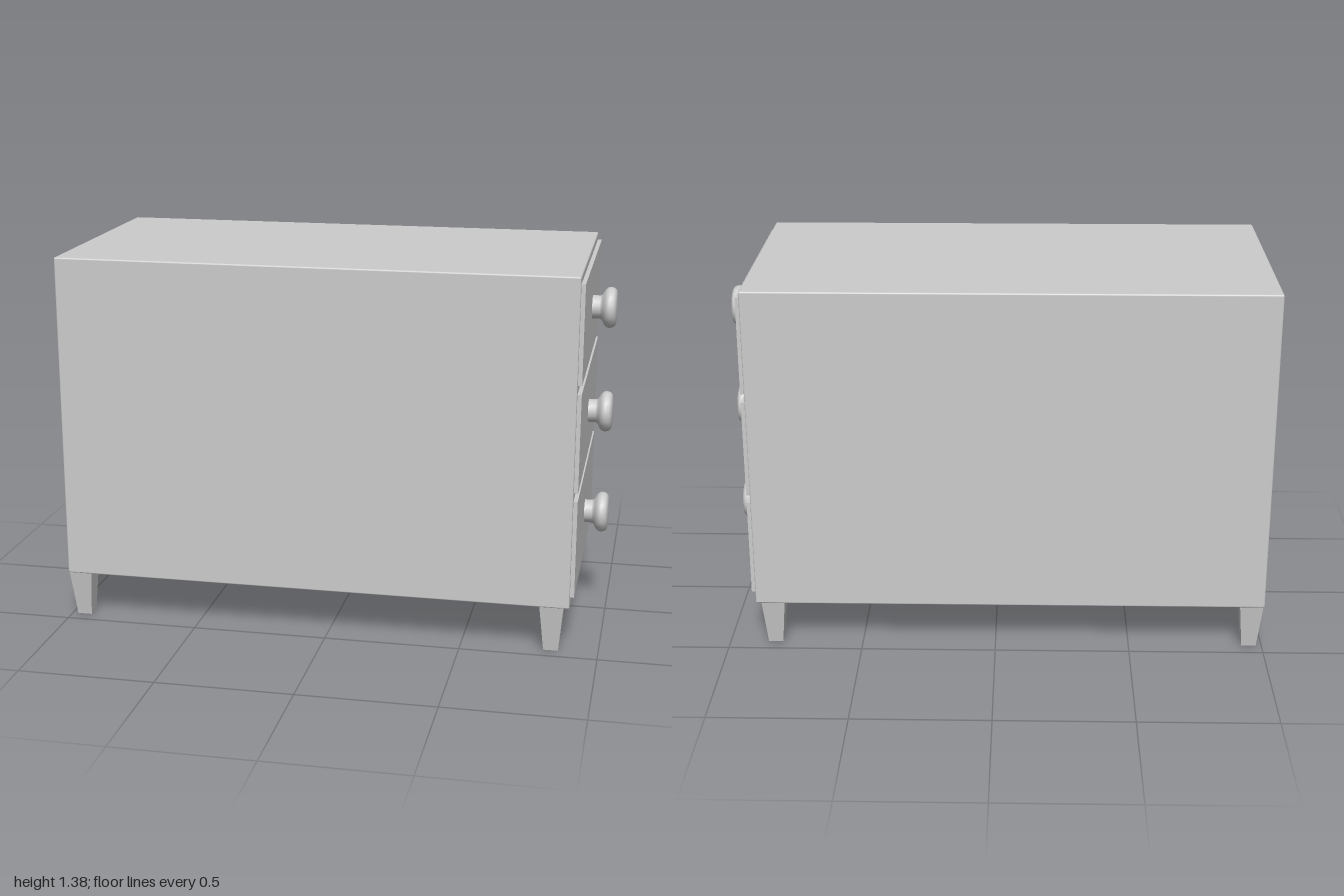
import * as THREE from 'three';
import { RoundedBoxGeometry } from 'three/addons/geometries/RoundedBoxGeometry.js';

const material = new THREE.MeshStandardMaterial({ color: 0xcccccc });

function add(parent, name, geometry, x, y, z) {
  const mesh = new THREE.Mesh(geometry, material);
  mesh.name = name;
  mesh.position.set(x, y, z);
  parent.add(mesh);
  return mesh;
}

// Leg tapering evenly in x, but in z only on its outer face (side = +1 or -1)
function legGeometry(side) {
  const h = 0.18, topX = 0.0435, footX = 0.027, inner = 0.393, topZ = 0.475, footZ = 0.447;
  const geometry = new THREE.BoxGeometry(2, h, 2);
  const p = geometry.attributes.position;
  for (let i = 0; i < p.count; i++) {
    const top = p.getY(i) > 0;
    const outer = p.getZ(i) * side > 0;
    p.setX(i, p.getX(i) * (top ? topX : footX));
    p.setZ(i, side * (outer ? (top ? topZ : footZ) : inner));
  }
  geometry.translate(0, h / 2, 0);
  geometry.computeVertexNormals();
  return geometry;
}

// Turned knob: narrow stem and wide rounded cap, pointing along +x
function knobGeometry() {
  const profile = [
    [0.043, 0], [0.043, 0.03], [0.048, 0.038], [0.066, 0.047], [0.074, 0.057],
    [0.076, 0.067], [0.073, 0.08], [0.066, 0.088], [0.05, 0.092], [0, 0.094],
  ].map(([r, y]) => new THREE.Vector2(r, y));
  return new THREE.LatheGeometry(profile, 20).rotateZ(-Math.PI / 2);
}

export function createModel() {
  const model = new THREE.Group();
  model.name = 'drawerCabinet';

  // Cabinet with slightly eased edges
  add(model, 'cabinetBody', new RoundedBoxGeometry(1.893, 1.21, 0.954, 2, 0.006), -0.0535, 0.78, 0);

  // Three drawers on the +x side
  const knob = knobGeometry();
  const fronts = [[0.216, 0.577, 0.394], [0.608, 0.968, 0.79], [1.0, 1.358, 1.186]];
  fronts.forEach(([bottom, top, knobY], i) => {
    const drawer = new THREE.Group();
    drawer.name = `drawer${i + 1}`;
    add(drawer, 'drawerFront', new THREE.BoxGeometry(0.03, top - bottom, 0.924), 0.893, (bottom + top) / 2, 0);
    add(drawer, 'drawerKnob', knob, 0.906, knobY, 0.004);
    model.add(drawer);
  });

  // Four tapered legs
  for (const side of [1, -1]) {
    const geometry = legGeometry(side);
    for (const x of [-0.952, 0.829]) add(model, 'leg', geometry, x, 0, 0);
  }
  return model;
}
